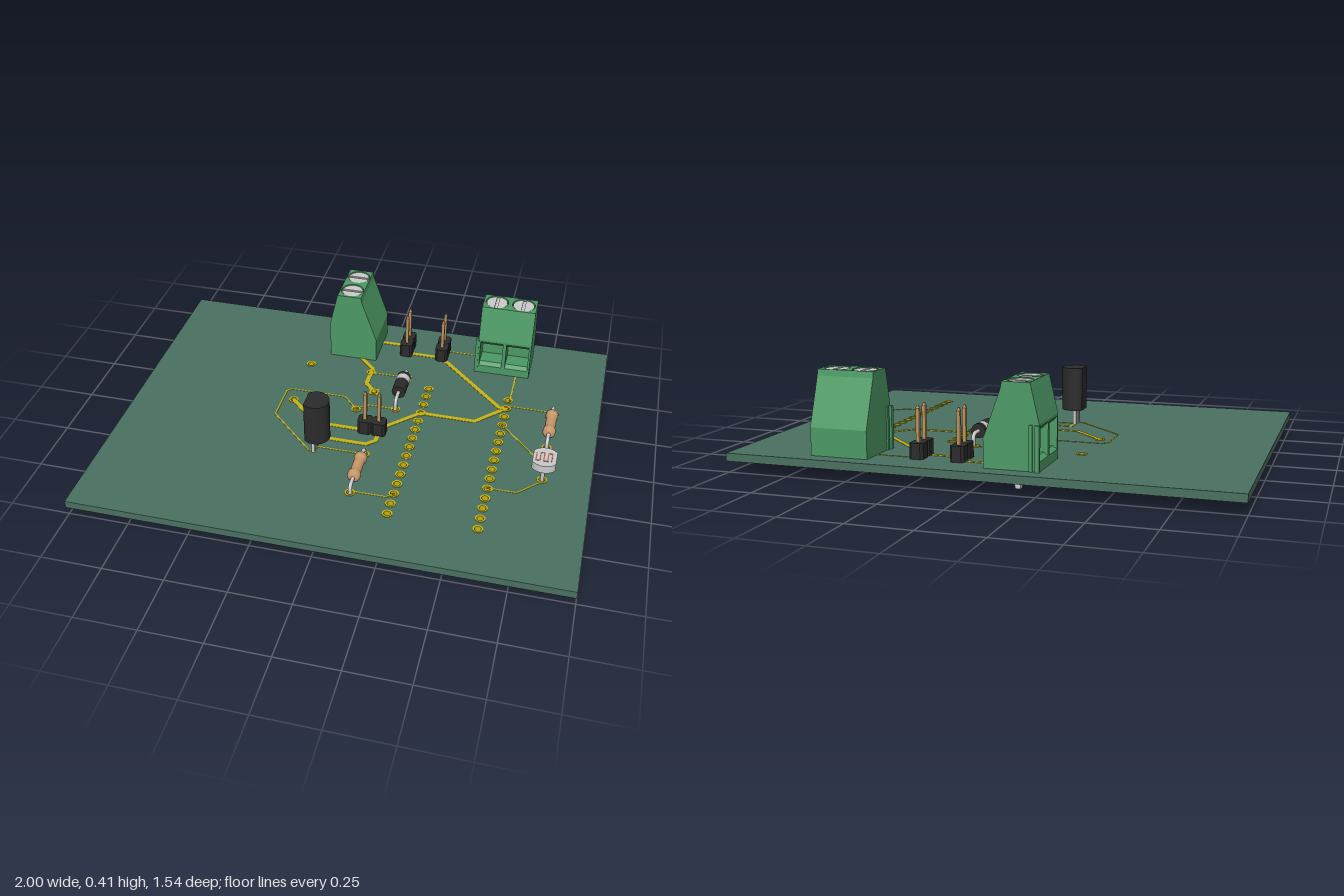
import * as THREE from 'three';
import { toCreasedNormals } from 'three/addons/utils/BufferGeometryUtils.js';

const mat = (color, extra = {}) => new THREE.MeshStandardMaterial({ color, ...extra });
const M = {
  board: mat(0x4a7060), green: mat(0x4c9a65), copper: mat(0xc8b414), pin: mat(0xb8935f),
  black: mat(0x2b2b2b), metal: mat(0xcccccc), tan: mat(0xcb9a6c), red: mat(0xb5695a),
};
const TOP = 0.08, BOTTOM = 0.048;

function add(parent, name, geo, material, x = 0, y = 0, z = 0) {
  const m = new THREE.Mesh(geo, material);
  m.name = name;
  m.position.set(x, y, z);
  parent.add(m);
  return m;
}
function group(parent, name, x = 0, y = 0, z = 0) {
  const g = new THREE.Group();
  g.name = name;
  g.position.set(x, y, z);
  parent.add(g);
  return g;
}
const poly = pts => new THREE.Shape(pts.map(p => new THREE.Vector2(...p)));
const circleHole = (x, y, r) => new THREE.Path().absarc(x, y, r, 0, Math.PI * 2, true);
// Extrudes a plan-view shape (x, z) downwards from y = 0
const slab = (shape, depth, curveSegments = 12) =>
  new THREE.ExtrudeGeometry(shape, { depth, bevelEnabled: false, curveSegments }).rotateX(Math.PI / 2);

// Flat copper track with rounded joints
function track(parent, name, pts, w, y = TOP, material = M.copper) {
  const g = group(parent, name);
  pts.forEach(([x, z], i) => {
    add(g, name + 'Joint', new THREE.CylinderGeometry(w / 2, w / 2, 0.003, 10), material, x, y, z);
    if (!i) return;
    const [px, pz] = pts[i - 1];
    const seg = add(g, name + 'Segment', new THREE.BoxGeometry(Math.hypot(x - px, z - pz), 0.003, w),
      material, (x + px) / 2, y, (z + pz) / 2);
    seg.rotation.y = -Math.atan2(z - pz, x - px);
  });
}

// Screw terminal, wire openings towards local +z, front at z = 0
function terminal(parent, x, z, turn) {
  const g = group(parent, 'screwTerminal', x, 0, z);
  g.rotation.y = turn;
  const capY = 0.38, topY = 0.405;
  const back = [[0.147, capY], [0.215, 0.19], [0.215, TOP], [0, TOP]];
  const upper = [[0, 0.255], [0.029, capY]];
  const notch = [[0, 0.117], [0.018, 0.13], [0.09, 0.13], [0.09, 0.225], [0.018, 0.225], [0, 0.245]];
  const slice = (pts, x0, x1, name) => add(g, name,
    new THREE.ExtrudeGeometry(poly(pts), { depth: x1 - x0, bevelEnabled: false }).rotateY(Math.PI / 2), M.green, x0);
  const solid = [...back, ...upper], open = [...back, ...notch, ...upper];
  slice(solid, -0.1175, -0.108, 'terminalWall');
  slice(open, -0.108, -0.008, 'terminalCell');
  slice(solid, -0.008, 0.008, 'terminalWall');
  slice(open, 0.008, 0.108, 'terminalCell');
  slice(solid, 0.108, 0.1175, 'terminalWall');
  // Top plate with screw wells, its lower edge flared to meet the slopes
  const plate = poly([[-0.1175, -0.143], [0.1175, -0.143], [0.1175, -0.035], [-0.1175, -0.035]]);
  for (const s of [-1, 1]) plate.holes.push(circleHole(s * 0.059, -0.09, 0.05));
  const cap = slab(plate, topY - capY, 24), p = cap.attributes.position;
  for (let i = 0; i < p.count; i++) {
    if (p.getY(i) > -0.01) continue;
    if (p.getZ(i) < -0.1425) p.setZ(i, -0.147);
    if (p.getZ(i) > -0.0355) p.setZ(i, -0.029);
  }
  cap.computeVertexNormals();
  add(g, 'terminalTop', cap, M.green, 0, topY, 0);
  // Slotted screws and solder pins
  for (const s of [-1, 1]) {
    add(g, 'screw', new THREE.CylinderGeometry(0.048, 0.048, 0.018, 24), M.metal, s * 0.059, 0.388, -0.09);
    for (const e of [-1, 1])
      add(g, 'screwHead', slab(new THREE.Shape().absarc(0, 0, 0.046, 0.13, Math.PI - 0.13), 0.006, 20),
        M.metal, s * 0.059, 0.402, -0.09).rotation.y = e > 0 ? Math.PI / 2 : -Math.PI / 2;
    add(g, 'terminalPin', new THREE.BoxGeometry(0.022, 0.1, 0.022), M.metal, s * 0.059, 0.05, -0.098);
  }
  // Interlocking rib on one side
  add(g, 'sideRib', new THREE.BoxGeometry(0.014, 0.172, 0.018), M.green, -0.122, 0.166, -0.006);
  add(g, 'sideRib', new THREE.BoxGeometry(0.008, 0.172, 0.014), M.green, -0.12, 0.166, -0.032);
}

// Two-pin header made of two chamfered cells
function header(parent, x, z, turn) {
  const g = group(parent, 'pinHeader', x, 0, z);
  g.rotation.y = turn;
  const a = 0.03, b = 0.028, c = 0.01;
  const cell = [[-a, -b + c], [-a + c, -b], [a - c, -b], [a, -b + c], [a, b - c], [a - c, b], [c - a, b], [-a, b - c]];
  for (const s of [-1, 1]) {
    add(g, 'headerBody', slab(poly(cell), 0.062), M.black, s * 0.03, 0.142);
    add(g, 'headerPin', new THREE.BoxGeometry(0.014, 0.255, 0.014), M.pin, s * 0.03, 0.1445);
    add(g, 'headerPinTip', new THREE.CylinderGeometry(0.004, 0.0099, 0.012, 4).rotateY(Math.PI / 4), M.pin, s * 0.03, 0.278);
  }
}

// Bent wire through an axial part, running along z
function wire(parent, halfSpan, y) {
  const v = (yy, z) => new THREE.Vector3(0, yy, z), path = new THREE.CurvePath(), r = 0.025, h = halfSpan;
  path.add(new THREE.LineCurve3(v(0.015, -h), v(y - r, -h)));
  path.add(new THREE.QuadraticBezierCurve3(v(y - r, -h), v(y, -h), v(y, -h + r)));
  path.add(new THREE.LineCurve3(v(y, -h + r), v(y, h - r)));
  path.add(new THREE.QuadraticBezierCurve3(v(y, h - r), v(y, h), v(y - r, h)));
  path.add(new THREE.LineCurve3(v(y - r, h), v(0.015, h)));
  add(parent, 'wireLead', new THREE.TubeGeometry(path, 60, 0.008, 10), M.metal);
  for (const s of [-1, 1]) add(parent, 'leadTip', new THREE.CylinderGeometry(0.008, 0.008, 0.004, 10), M.metal, 0, 0.015, s * h);
}

function resistor(parent, x, z) {
  const g = group(parent, 'resistor', x, 0, z);
  wire(g, 0.122, 0.115);
  const half = [[0, 0.075], [0.018, 0.074], [0.026, 0.066], [0.027, 0.05], [0.025, 0.04], [0.022, 0.034]];
  const pts = [...half.map(([r, l]) => [r, -l]), ...half.reverse()].map(q => new THREE.Vector2(...q));
  add(g, 'resistorBody', new THREE.LatheGeometry(pts, 24).rotateX(Math.PI / 2), M.tan, 0, 0.115, 0);
}

function diode(parent, x, z) {
  const g = group(parent, 'diode', x, 0, z);
  wire(g, 0.117, 0.13);
  const cyl = (r, l) => new THREE.CylinderGeometry(r, r, l, 24).rotateX(Math.PI / 2);
  add(g, 'diodeBody', cyl(0.03, 0.12), M.black, 0, 0.13, 0);
  add(g, 'diodeBand', cyl(0.0308, 0.032), M.metal, 0, 0.13, -0.026);
}

function transistor(parent, x, z) {
  const g = group(parent, 'transistor', x, 0, z);
  const a = Math.acos(-0.7);
  const d = new THREE.Shape().absarc(0, 0, 0.057, -a, a);
  d.closePath();
  add(g, 'transistorBody', toCreasedNormals(slab(d, 0.185, 28), 0.6), M.black, 0, 0.33, 0);
  for (const s of [-1, 0, 1])
    add(g, 'transistorLeg', new THREE.BoxGeometry(0.013, 0.14, 0.013), M.metal, -0.006, 0.085, s * 0.027);
}

function lightSensor(parent, x, z) {
  const g = group(parent, 'lightSensor', x, 0, z);
  const a = Math.acos(0.8), disc = new THREE.Shape();
  disc.absarc(0, 0, 0.059, a, Math.PI - a);
  disc.absarc(0, 0, 0.059, Math.PI + a, 2 * Math.PI - a);
  disc.closePath();
  add(g, 'sensorBody', toCreasedNormals(slab(disc, 0.035, 16), 0.5), M.metal, 0, 0.175, 0);
  const zig = [[-0.034, -0.02], [-0.034, 0.025], [-0.018, 0.025], [-0.018, -0.025], [-0.003, -0.025], [-0.003, 0.025],
    [0.013, 0.025], [0.013, -0.025], [0.028, -0.025], [0.028, 0.022]];
  track(g, 'sensorTrack', zig, 0.005, 0.175, M.red);
  for (const s of [-1, 1])
    add(g, 'sensorLeg', new THREE.CylinderGeometry(0.008, 0.008, 0.135, 10), M.metal, 0, 0.0825, s * 0.033);
}

export function createModel() {
  const model = new THREE.Group();
  model.name = 'circuitBoard';

  // Plated holes: two long socket rows, loose holes, component holes
  const round = [[-0.315, -0.365], [-0.033, -0.365], [-0.315, -0.085], [-0.033, -0.085], [0.133, -0.125],
    [0.8, -0.264], [0.8, -0.02], [0.075, 0.203], [0.075, 0.447], [0.805, 0.122], [0.805, 0.188]];
  for (let i = 0; i < 15; i++) for (const x of [0.245, 0.6]) round.push([x, -0.305 + i * 0.0597]);
  const square = [[0.015, -0.225], [0.133, -0.359]];

  const plate = poly([[-1, -0.768], [1, -0.768], [1, 0.768], [-1, 0.768]]);
  for (const [x, z] of [...round, ...square]) plate.holes.push(circleHole(x, z, 0.0145));
  add(model, 'board', slab(plate, TOP - BOTTOM, 12), M.board, 0, TOP, 0);

  const ring = new THREE.Shape().absarc(0, 0, 0.021, 0, Math.PI * 2);
  const tile = poly([[-0.021, -0.021], [0.021, -0.021], [0.021, 0.021], [-0.021, 0.021]]);
  for (const [shape, spots] of [[ring, round], [tile, square]]) {
    shape.holes.push(circleHole(0, 0, 0.0135));
    const geo = slab(shape, TOP - BOTTOM + 0.004, 12);
    for (const [x, z] of spots) add(model, 'solderPad', geo, M.copper, x, TOP + 0.002, z);
  }

  // Wide power tracks
  [
    [[-0.1, -0.615], [0.092, -0.615]],
    [[0.092, -0.556], [0.257, -0.556], [0.57, -0.243], [0.6, -0.243]],
    [[0.59, -0.235], [0.481, -0.123], [0.245, -0.123], [0.1, 0.022], [0.1, 0.107], [0.064, 0.139], [-0.128, 0.139], [-0.128, 0.18]],
    [[-0.15, -0.515], [-0.033, -0.395], [-0.033, -0.278], [0.015, -0.225]],
    [[-0.315, -0.085], [-0.182, 0.048], [0.04, 0.048]],
  ].forEach(p => track(model, 'powerTrack', p, 0.019));
  // Narrow signal tracks
  [
    [[-0.033, -0.365], [0.133, -0.365]],
    [[-0.128, 0.237], [-0.16, 0.23], [-0.363, 0.032], [-0.363, -0.139], [-0.342, -0.16], [-0.102, -0.16], [-0.033, -0.085],
      [0.011, -0.125], [0.133, -0.125]],
    [[-0.128, 0.203], [0.075, 0.203]],
    [[0.075, 0.438], [0.219, 0.438], [0.245, 0.412]],
    [[0.257, -0.615], [0.49, -0.615]],
    [[0.608, -0.583], [0.608, -0.305]],
    [[0.6, -0.245], [0.62, -0.264], [0.8, -0.264]],
    [[0.6, -0.126], [0.805, 0.1], [0.805, 0.122]],
    [[0.8, -0.02], [0.832, 0.005], [0.832, 0.1], [0.805, 0.122]],
    [[0.6, 0.29], [0.717, 0.29], [0.805, 0.2]],
  ].forEach(p => track(model, 'signalTrack', p, 0.006));

  // Components
  terminal(model, -0.248, -0.58, -Math.PI / 2);
  terminal(model, 0.547, -0.49, 0);
  header(model, 0.092, -0.586, Math.PI / 2);
  header(model, 0.257, -0.586, Math.PI / 2);
  header(model, 0.07, 0.048, 0);
  resistor(model, 0.8, -0.142);
  resistor(model, 0.075, 0.325);
  diode(model, 0.133, -0.242);
  transistor(model, -0.127, 0.211);
  lightSensor(model, 0.805, 0.157);
  return model;
}
